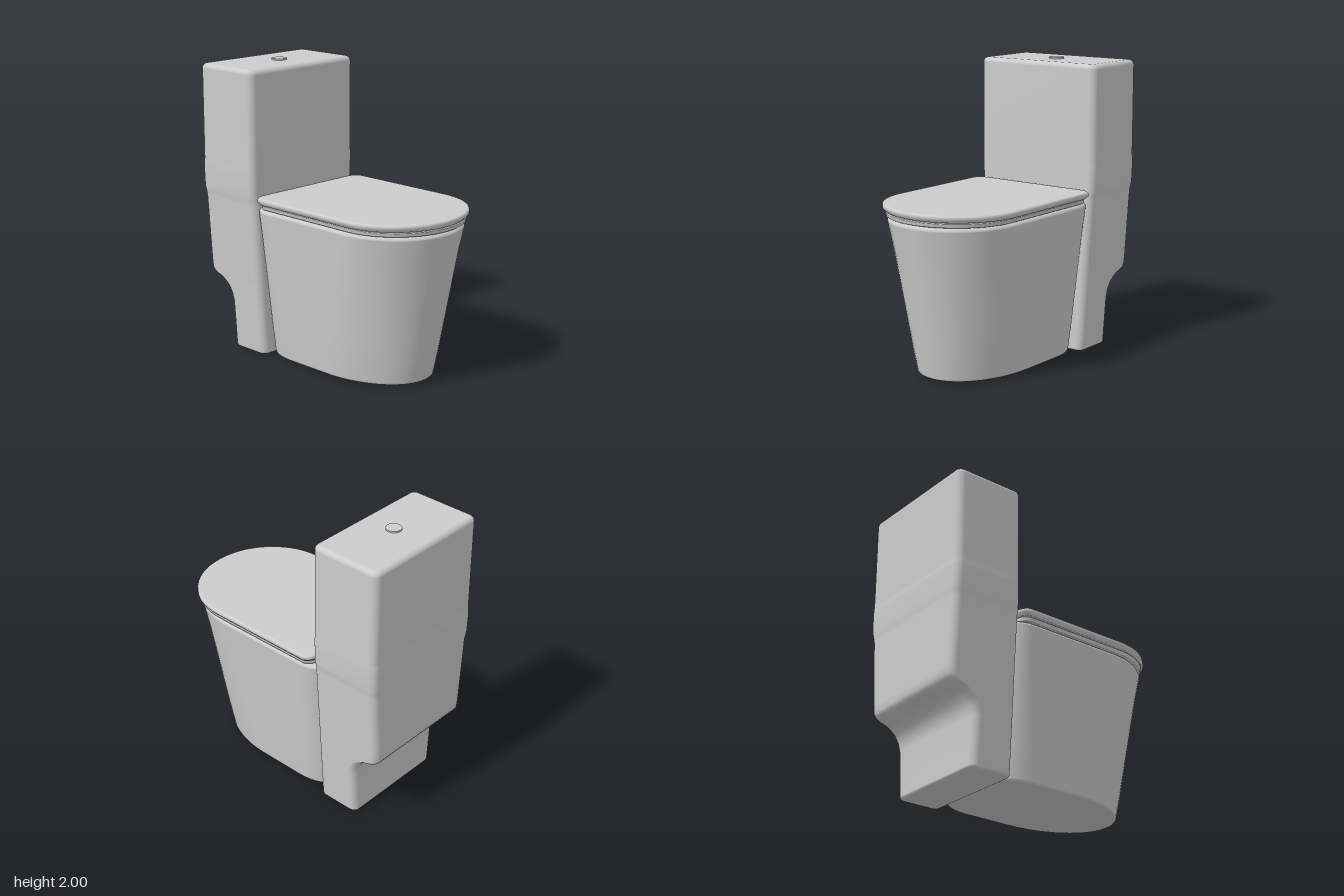
import * as THREE from 'three';

const STEPS = 14; // segments per corner

// Plan outline at one height: halfwidth w, front z f, back z b, elliptical corners [x, z]
function ring({ y, w, f, b, front, back }, inset) {
  const W = w - inset, F = f - inset, B = b + inset;
  const fx = Math.max(front[0] - inset, 0.01), fz = Math.max(front[1] - inset, 0.01);
  const bx = Math.max(back[0] - inset, 0.01), bz = Math.max(back[1] - inset, 0.01);
  const half = [];
  for (let i = 0; i <= STEPS; i++) {
    const t = (i / STEPS) * Math.PI / 2;
    half.push([W - fx + fx * Math.sin(t), y, F - fz + fz * Math.cos(t)]);
  }
  for (let i = 0; i <= STEPS; i++) {
    const t = (i / STEPS) * Math.PI / 2;
    half.push([W - bx + bx * Math.cos(t), y, B + bz - bz * Math.sin(t)]);
  }
  return [...half, ...half.slice().reverse().map(([x, h, z]) => [-x, h, z])];
}

// Closed loft through the sections, bottom and top edges rounded by r0 and r1
function loft(sections, r0, r1) {
  const rings = [];
  const first = sections[0], last = sections[sections.length - 1];
  const N = 5;
  for (let i = 0; i < N; i++) {
    const a = (i / N) * Math.PI / 2;
    rings.push(ring({ ...first, y: first.y + r0 * (1 - Math.cos(a)) }, r0 * (1 - Math.sin(a))));
  }
  rings.push(ring({ ...first, y: first.y + r0 }, 0));
  sections.slice(1, -1).forEach((s) => rings.push(ring(s, 0)));
  for (let i = 0; i <= N; i++) {
    const a = (i / N) * Math.PI / 2;
    rings.push(ring({ ...last, y: last.y - r1 * (1 - Math.sin(a)) }, r1 * (1 - Math.cos(a))));
  }
  const n = rings[0].length, pos = rings.flat(2), idx = [];
  for (let i = 0; i < rings.length - 1; i++) {
    for (let j = 0; j < n; j++) {
      const k = (j + 1) % n, a = i * n, c = a + n;
      idx.push(a + j, a + k, c + k, a + j, c + k, c + j);
    }
  }
  // end caps
  const bottom = rings.length * n, top = bottom + 1, up = bottom - n;
  pos.push(0, first.y, (first.f + first.b) / 2, 0, last.y, (last.f + last.b) / 2);
  for (let j = 0; j < n; j++) {
    const k = (j + 1) % n;
    idx.push(bottom, k, j, top, up + j, up + k);
  }
  const g = new THREE.BufferGeometry();
  g.setAttribute('position', new THREE.Float32BufferAttribute(pos, 3));
  g.setIndex(idx);
  g.computeVertexNormals();
  return g;
}

export function createModel() {
  const group = new THREE.Group();
  const ceramic = new THREE.MeshStandardMaterial({ color: 0xcccccc });
  ceramic.name = 'ceramic';
  const add = (name, geometry) => {
    const mesh = new THREE.Mesh(geometry, ceramic);
    mesh.name = name;
    group.add(mesh);
    return mesh;
  };

  // Cistern column with an undercut at the back: [y, halfwidth, back z]
  const column = [
    [0, 0.395, -0.71], [0.33, 0.416, -0.71], [0.39, 0.42, -0.722], [0.44, 0.423, -0.748],
    [0.475, 0.426, -0.785], [0.498, 0.427, -0.825], [0.512, 0.428, -0.87], [0.525, 0.429, -0.895],
    [0.55, 0.431, -0.91], [0.6, 0.434, -0.913], [1.07, 0.465, -0.913], [1.1, 0.469, -0.915],
    [1.14, 0.477, -0.919], [1.28, 0.482, -0.92], [1.31, 0.481, -0.917], [1.34, 0.48, -0.915],
    [1.99, 0.48, -0.915],
  ].map(([y, w, b]) => ({ y, w, b, f: -0.4, front: [0.05, 0.05], back: [0.05, 0.05] }));
  add('cistern', loft(column, 0.02, 0.035));

  // Bowl, tapering to the floor and rounded in towards the cistern
  const bowl = [];
  for (let i = 0; i <= 6; i++) {
    const t = i / 6, mix = (a, b) => a + (b - a) * t;
    const w = mix(0.365, 0.463);
    bowl.push({
      y: mix(0.01, 1.06), w, f: mix(0.72, 0.905), b: -0.42,
      front: [w * 0.985, mix(0.55, 0.49)], back: [mix(0.14, 0.09), mix(0.24, 0.14)],
    });
  }
  add('bowl', loft(bowl, 0.02, 0.025));

  // Seat ring and lid
  const plate = (y, w, f, b) => ({ y, w, f, b, front: [w * 0.985, w * 0.95], back: [0.09, 0.07] });
  add('seat', loft([plate(1.066, 0.46, 0.905, -0.37), plate(1.097, 0.465, 0.91, -0.37)], 0.006, 0.006));
  add('seatBumper', loft([plate(1.055, 0.42, 0.86, -0.35), plate(1.105, 0.42, 0.86, -0.35)], 0.004, 0.004));
  add('lid', loft([
    plate(1.1, 0.478, 0.91, -0.375), plate(1.118, 0.49, 0.922, -0.385),
    plate(1.147, 0.49, 0.922, -0.385),
  ], 0.006, 0.016));

  // Flush button
  const button = add('flushButton', new THREE.CylinderGeometry(0.052, 0.052, 0.02, 40));
  button.position.set(0, 1.99, -0.64);
  return group;
}
